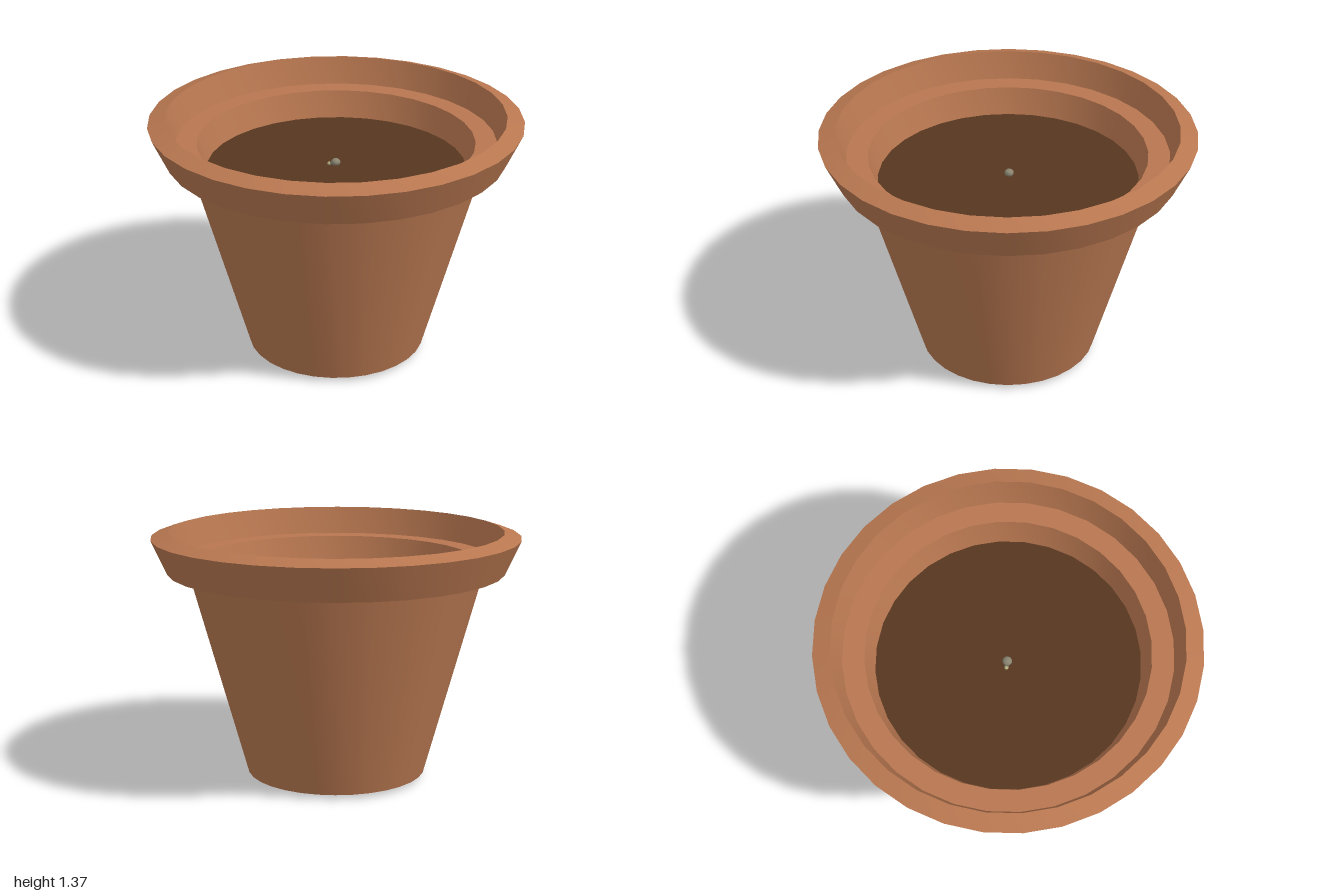
import * as THREE from 'three';
import { toCreasedNormals } from 'three/addons/utils/BufferGeometryUtils.js';

const SIDES = 32;

// Revolve a [radius, height] profile, keeping its corners sharp.
function revolve(name, profile, material) {
  const points = profile.map(([r, y]) => new THREE.Vector2(r, y));
  const geometry = toCreasedNormals(new THREE.LatheGeometry(points, SIDES), Math.PI / 6);
  const mesh = new THREE.Mesh(geometry, material);
  mesh.name = name;
  return mesh;
}

export function createModel() {
  const group = new THREE.Group();
  group.name = 'flowerPot';
  const clay = new THREE.MeshStandardMaterial({ color: 0xb87750 });
  const earth = new THREE.MeshStandardMaterial({ color: 0x57361f });

  // Pot wall: shallow cone underneath, tapered body, flared rim, inner ledge
  group.add(revolve('pot', [
    [0, 0], [0.49, 0.025], [0.8, 1.15], [0.915, 1.15], [1, 1.335], [0.907, 1.365],
    [0.86, 1.215], [0.745, 1.215], [0.7, 1.065],
  ], clay));

  // Flat soil surface
  const soil = new THREE.Mesh(new THREE.CircleGeometry(0.702, SIDES), earth);
  soil.name = 'soil';
  soil.rotation.x = -Math.PI / 2;
  soil.position.y = 1.066;
  group.add(soil);

  // Tiny pebbles in the middle of the soil: x, z, radius, color
  const pebbles = [
    [-0.005, -0.003, 0.026, 0x8a8470],
    [-0.022, 0.008, 0.014, 0x6f6a58],
    [-0.033, 0.016, 0.012, 0xb5ae80],
  ];
  for (const [x, z, r, color] of pebbles) {
    const pebble = new THREE.Mesh(
      new THREE.SphereGeometry(r, 10, 8),
      new THREE.MeshStandardMaterial({ color }));
    pebble.name = 'pebble';
    pebble.scale.y = 0.8;
    pebble.position.set(x, 1.066 + r * 0.6, z);
    group.add(pebble);
  }
  return group;
}
